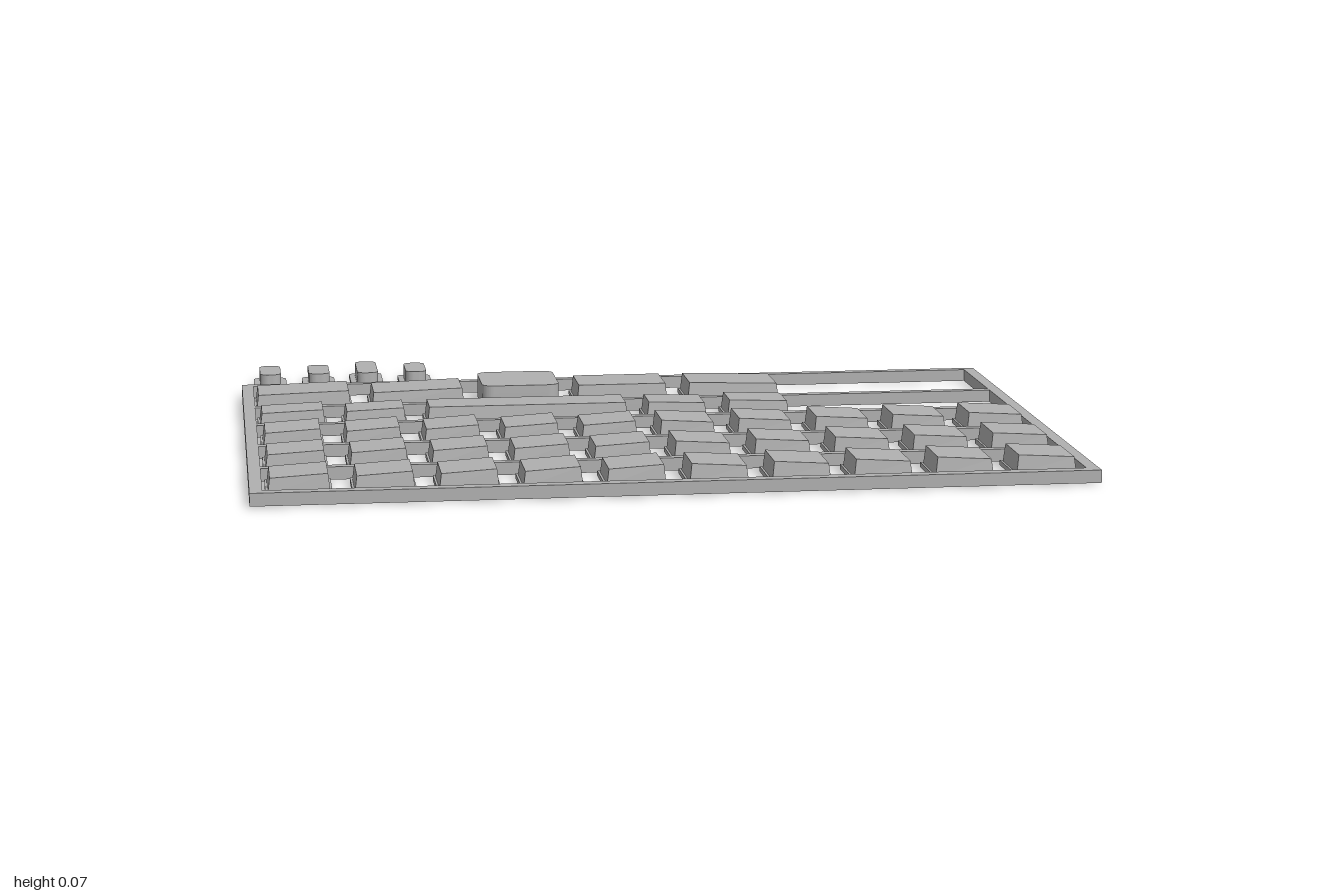
import * as THREE from 'three';

const plastic = new THREE.MeshStandardMaterial({ color: 0xb0b0b0 });
plastic.name = 'grey plastic';

const add = (parent, name, geometry) => {
  const mesh = new THREE.Mesh(geometry, plastic);
  mesh.name = name;
  parent.add(mesh);
  return mesh;
};

// Box given by its limits
function block(x0, x1, y0, y1, z0, z1) {
  return new THREE.BoxGeometry(x1 - x0, y1 - y0, z1 - z0)
    .translate((x0 + x1) / 2, (y0 + y1) / 2, (z0 + z1) / 2);
}

// Closed rectangle with optional round corners; shape y becomes -z
function outline(path, x0, x1, z0, z1, r = 0) {
  const a = -z1, b = -z0;
  if (!r) {
    path.moveTo(x0, a).lineTo(x1, a).lineTo(x1, b).lineTo(x0, b);
  } else {
    path.absarc(x1 - r, a + r, r, -Math.PI / 2, 0);
    path.absarc(x1 - r, b - r, r, 0, Math.PI / 2);
    path.absarc(x0 + r, b - r, r, Math.PI / 2, Math.PI);
    path.absarc(x0 + r, a + r, r, Math.PI, Math.PI * 1.5);
  }
  path.closePath();
  return path;
}

// Flat slab cut from a shape
function slab(shape, y0, y1) {
  return new THREE.ExtrudeGeometry(shape, { depth: y1 - y0, bevelEnabled: false, curveSegments: 6 })
    .rotateX(-Math.PI / 2).translate(0, y0, 0);
}
const roundSlab = (x0, x1, z0, z1, r, y0, y1) =>
  slab(outline(new THREE.Shape(), x0, x1, z0, z1, r), y0, y1);

// Tapered cap whose top falls away from the middle column
function capGeometry(x0, x1, z0, z1, top, tilt) {
  const g = block(x0, x1, 0.015, top, z0, z1);
  const p = g.attributes.position;
  const cx = (x0 + x1) / 2, cz = (z0 + z1) / 2;
  for (let i = 0; i < p.count; i++) {
    if (p.getY(i) < 0.03) continue;
    const sx = Math.sign(p.getX(i) - cx), sz = Math.sign(p.getZ(i) - cz);
    p.setXYZ(i, p.getX(i) - sx * 0.005, top - (sx * cx > 0 ? tilt : 0), p.getZ(i) - sz * 0.004);
  }
  const flat = g.toNonIndexed();
  flat.computeVertexNormals();
  return flat;
}

// Small round pin under a key
const pin = (x, z) => new THREE.CylinderGeometry(0.014, 0.014, 0.007, 14).translate(x, 0.0035, z);

// Key: flange, cap, pin and the runner joining it to the rail in front
function addKey(parent, x0, x1, z0, z1, railZ, top, tilt) {
  const key = new THREE.Group();
  key.name = 'key';
  const cx = (x0 + x1) / 2, cz = (z0 + z1) / 2;
  add(key, 'keyFlange', block(x0, x1, 0.005, 0.017, z0, z1));
  add(key, 'keyCap', capGeometry(x0 + 0.005, x1 - 0.005, z0 + 0.012, z1 - 0.004, top, tilt));
  add(key, 'keyPin', pin(cx, cz));
  add(key, 'keyRunner', block(cx - 0.009, cx + 0.009, 0.006, 0.02, z1 - 0.005, railZ + 0.005));
  parent.add(key);
}

export function createModel() {
  const model = new THREE.Group();
  model.name = 'keySheet';

  // Frame with five open bays
  const frame = outline(new THREE.Shape(), -1, 1, -0.555, 0.8);
  const bays = [[-0.53, -0.25], [-0.225, -0.015], [0.01, 0.245], [0.27, 0.508], [0.532, 0.77]];
  for (const [z0, z1] of bays) frame.holes.push(outline(new THREE.Path(), -0.97, 0.97, z0, z1));
  add(model, 'frame', slab(frame, 0.004, 0.035));

  // Three rows of ten square keys
  for (const [z0, z1, railZ] of [[0.048, 0.207, 0.245], [0.31, 0.468, 0.508], [0.573, 0.733, 0.77]]) {
    for (let i = 0; i < 10; i++) {
      const x = (i - 4.5) * 0.196;
      const outerL = i === 0 ? 0.005 : 0, outerR = i === 9 ? 0.005 : 0;
      addKey(model, x - 0.075 - outerL, x + 0.075 + outerR, z0, z1, railZ, 0.061, 0.008);
    }
  }

  // Row with the long bar
  for (const [x0, x1] of [[-0.965, -0.79], [-0.75, -0.585], [-0.54, -0.015], [0.025, 0.19], [0.235, 0.405]])
    addKey(model, x0, x1, -0.187, -0.053, -0.015, 0.058, x1 - x0 > 0.4 ? 0 : 0.006);

  // Row of wide keys
  for (const [x0, x1] of [[-0.97, -0.715], [-0.67, -0.418], [-0.13, 0.12], [0.165, 0.418]])
    addKey(model, x0, x1, -0.456, -0.29, -0.25, 0.061, x0 === -0.13 ? 0 : 0.007);

  // Rounded centre button with a socket underneath
  const button = new THREE.Group();
  button.name = 'centreButton';
  const base = outline(new THREE.Shape(), -0.375, -0.172, -0.492, -0.288, 0.03);
  base.holes.push(new THREE.Path().absarc(-0.2735, 0.39, 0.042, 0, Math.PI * 2, true));
  add(button, 'buttonBase', slab(base, 0.005, 0.045));
  add(button, 'buttonTop', roundSlab(-0.375, -0.172, -0.492, -0.288, 0.03, 0.045, 0.066));
  add(button, 'buttonRunner', block(-0.283, -0.265, 0.006, 0.02, -0.293, -0.245));
  model.add(button);

  // Four small side buttons behind the frame
  for (const [x, back] of [[-0.922, -0.763], [-0.791, -0.763], [-0.66, -0.8], [-0.529, -0.763]]) {
    const side = new THREE.Group();
    side.name = 'sideButton';
    const z0 = back === -0.8 ? -0.808 + 0.008 : back;
    add(side, 'sideFlange', roundSlab(x - 0.044, x + 0.044, z0, -0.597, 0.018, 0.005, 0.014));
    add(side, 'sideCap', roundSlab(x - 0.028, x + 0.028, z0 + 0.015, -0.61, 0.022, 0.014, 0.05));
    add(side, 'sideRunner', block(x - 0.009, x + 0.009, 0.006, 0.015, -0.602, -0.55));
    model.add(side);
  }
  return model;
}
